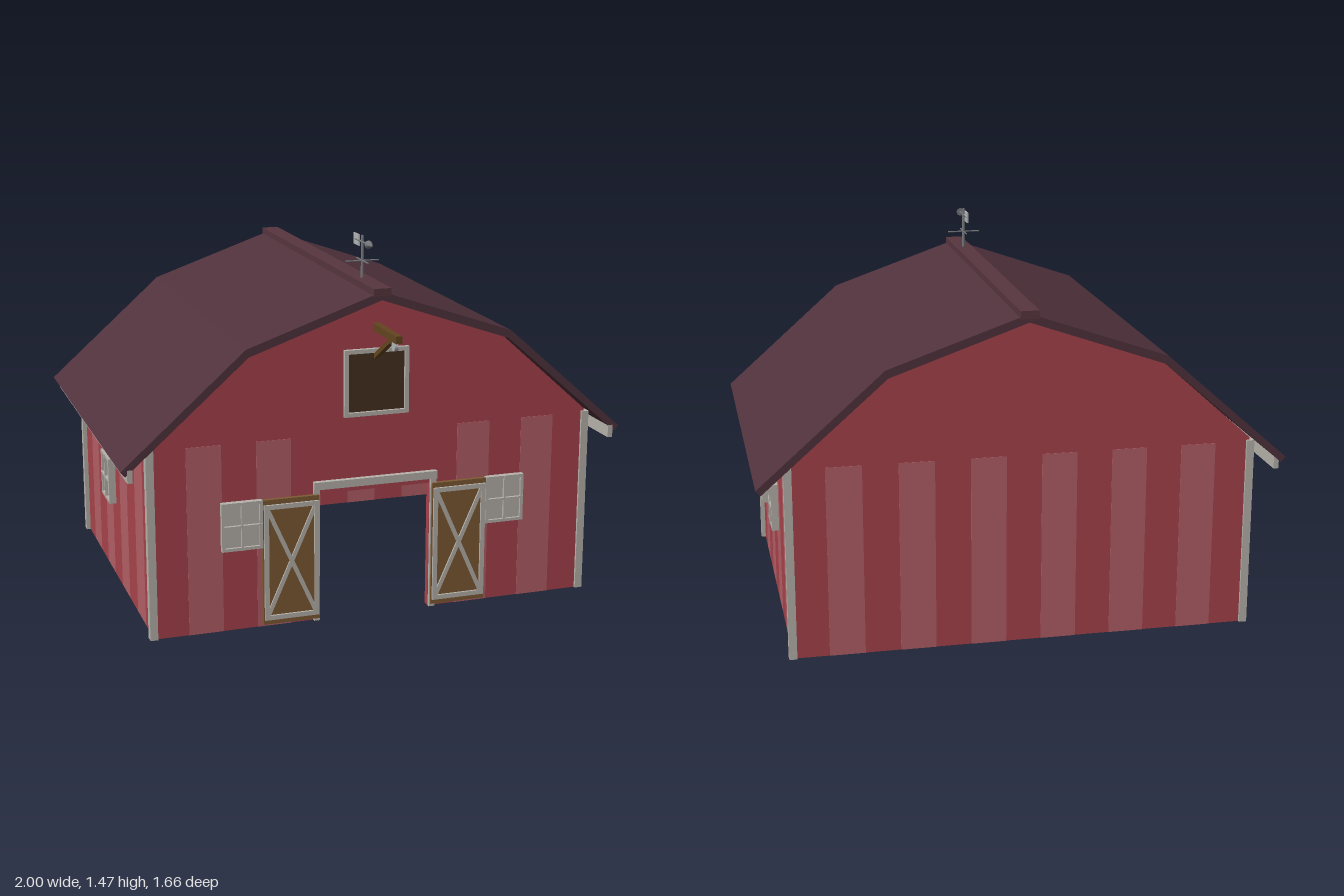
import * as THREE from 'three';

const mat = (color) => new THREE.MeshStandardMaterial({ color });
const M = {
  red: mat(0xa8434b), pale: mat(0xb46068), trim: mat(0xb8b3ac), roof: mat(0x50323c),
  ridge: mat(0x58363f), wood: mat(0x7e5a33), beam: mat(0x64451f), dark: mat(0x46301e),
  metal: mat(0x75787c), plate: mat(0xb4b6b8),
};
const W = 0.8775, FRONT = 0.585, BACK = -0.755, T = 0.03; // wall half width, ends, thickness

export function createModel() {
  const barn = new THREE.Group();
  barn.name = 'barn';

  const add = (name, geo, material, x = 0, y = 0, z = 0, parent = barn) => {
    const m = new THREE.Mesh(geo, material);
    m.name = name;
    m.position.set(x, y, z);
    parent.add(m);
    return m;
  };
  // Box given by its min and max on each axis
  const box = (name, material, x0, x1, y0, y1, z0, z1, parent = barn) =>
    add(name, new THREE.BoxGeometry(x1 - x0, y1 - y0, z1 - z0), material,
      (x0 + x1) / 2, (y0 + y1) / 2, (z0 + z1) / 2, parent);
  const group = (name, x = 0, y = 0, z = 0) => {
    const g = new THREE.Group();
    g.name = name;
    g.position.set(x, y, z);
    barn.add(g);
    return g;
  };
  const shapeOf = (pts) => new THREE.Shape(pts.map(([x, y]) => new THREE.Vector2(x, y)));
  const extrude = (pts, depth) =>
    new THREE.ExtrudeGeometry(shapeOf(pts), { depth, bevelEnabled: false });

  // End walls with the gambrel outline; the front one has a doorway
  const gable = [[W, 0.755], [0.515, 1.08], [0, 1.262], [-0.515, 1.08], [-W, 0.755]];
  const doorway = [[-W, 0], [-0.225, 0], [-0.225, 0.51], [0.225, 0.51], [0.225, 0], [W, 0]];
  add('frontWall', extrude([...doorway, ...gable], T), M.red, 0, 0, FRONT - T);
  add('backWall', extrude([[-W, 0], [W, 0], ...gable], T), M.red, 0, 0, BACK);

  // Pale planks on the end walls, showing on both faces
  const pw = (2 * W) / 13;
  for (let i = 1; i < 13; i += 2) {
    const x = -W + i * pw;
    box('backPlank', M.pale, x, x + pw, 0, 0.74, BACK - 0.002, BACK + T + 0.002);
    if (i !== 5 && i !== 7)
      box('frontPlank', M.pale, x, x + pw, 0, 0.74, FRONT - T - 0.002, FRONT + 0.002);
  }

  // Side walls of alternating planks
  const pd = (FRONT - BACK) / 9;
  for (const s of [-1, 1]) {
    for (let i = 0; i < 9; i++) {
      const x = s * (W - T / 2), z = FRONT - i * pd;
      const inset0 = i === 0 ? T : 0, inset1 = i === 8 ? T : 0;
      box('sidePlank', i % 2 ? M.pale : M.red, x - T / 2, x + T / 2, 0, 0.752,
        z - pd + inset1, z - inset0);
    }
    // Corner boards
    for (const [z0, z1] of [[0.56, 0.595], [-0.765, -0.73]]) {
      const x = s * 0.88;
      box('cornerBoard', M.trim, x - 0.015, x + 0.015, 0, 0.745, z0, z1);
    }
    // Eave board under the roof edge
    box('eaveBoard', M.trim, s * 0.965 - 0.01, s * 0.965 + 0.01, 0.645, 0.695, -0.82, 0.65);
  }

  // Roof shell and ridge cap
  const outer = [[1, 0.69], [0.525, 1.11], [0, 1.292]];
  const inner = [[0, 1.26], [0.515, 1.08], [0.982, 0.67]];
  const flip = (pts) => pts.map(([x, y]) => [-x, y]).reverse();
  add('roof', extrude([...outer, ...flip(outer).slice(1),
    ...flip(inner), ...inner.slice(1)], 1.472), M.roof, 0, 0, -0.822);
  box('ridgeCap', M.ridge, -0.035, 0.035, 1.275, 1.305, -0.83, 0.655);

  // Doorway trim
  box('doorHeader', M.trim, -0.25, 0.25, 0.532, 0.562, FRONT, 0.607);
  for (const s of [-1, 1])
    box('doorJamb', M.trim, s * 0.238 - 0.012, s * 0.238 + 0.012, 0, 0.532, FRONT - T, 0.598);

  // Sliding doors with cross bracing
  for (const s of [-1, 1]) {
    const door = group('slidingDoor', s * 0.3425, 0.263, 0.598);
    const w = 0.1125, h = 0.25, z0 = 0.006, z1 = 0.017;
    box('doorPanel', M.wood, -w, w, -h, h, -0.01, 0.008, door);
    for (const d of [-1, 1]) {
      const x = d * (w - 0.013), y = d * 0.222;
      box('doorStile', M.trim, x - 0.009, x + 0.009, -0.231, 0.231, z0, z1, door);
      box('doorRail', M.trim, -w + 0.004, w - 0.004, y - 0.009, y + 0.009, z0, z1, door);
      const brace = box('doorBrace', M.trim, -0.24, 0.24, -0.008, 0.008, z0, z1 - 0.002, door);
      brace.rotation.z = d * Math.atan2(0.44, 0.195);
    }
  }

  // Windows, built facing +z
  const addWindow = (x, y, z, turn) => {
    const win = group('window', x, y, z);
    win.rotation.y = turn;
    const w = 0.08, h = 0.095;
    box('windowPane', M.trim, -w, w, -h, h, -0.005, 0.014, win);
    for (const d of [-1, 1]) {
      const a = d * (w - 0.006), b = d * (h - 0.006);
      box('windowStile', M.trim, a - 0.006, a + 0.006, -h, h, 0.01, 0.024, win);
      box('windowRail', M.trim, -w, w, b - 0.006, b + 0.006, 0.01, 0.024, win);
    }
    box('windowMuntin', M.trim, -0.004, 0.004, -h, h, 0.01, 0.026, win);
    box('windowMuntin', M.trim, -w, w, -0.004, 0.004, 0.01, 0.026, win);
  };
  for (const s of [-1, 1]) {
    addWindow(s * 0.535, 0.42, FRONT, 0);
    addWindow(s * 0.882, 0.42, -0.172, s * Math.PI / 2);
  }

  // Hayloft hatch
  box('loftHatch', M.dark, -0.12, 0.12, 0.81, 1.06, FRONT - 0.01, 0.59);
  for (const d of [-1, 1]) {
    box('loftStile', M.trim, d * 0.121 - 0.008, d * 0.121 + 0.008, 0.806, 1.066, FRONT, 0.602);
    const y = 0.936 + d * 0.122;
    box('loftRail', M.trim, -0.129, 0.129, y - 0.008, y + 0.008, FRONT, 0.602);
  }

  // Hoist beam, brace and pulley
  box('hoistBeam', M.beam, -0.013, 0.013, 1.134, 1.162, 0.57, 0.832);
  const brace = box('hoistBrace', M.beam, -0.009, 0.009, 1.072, 1.09, 0.575, 0.765);
  brace.rotation.x = -Math.atan2(0.095, 0.165);
  add('pulley', new THREE.CylinderGeometry(0.018, 0.018, 0.014, 16).rotateZ(Math.PI / 2),
    M.plate, 0, 1.116, 0.79);

  // Weathervane
  const vane = group('weathervane', 0, 1.3, 0.425);
  const rod = (name, r, len) => add(name, new THREE.CylinderGeometry(r, r, len, 8), M.metal, 0, 0, 0, vane);
  rod('vanePole', 0.006, 0.17).position.y = 0.083;
  for (const axis of ['x', 'z']) {
    const bar = rod('vaneCrossbar', 0.003, 0.134);
    bar.rotation[axis] = Math.PI / 2;
    bar.position.y = 0.07;
  }
  const shaft = rod('vaneArrowShaft', 0.004, 0.16);
  shaft.rotation.x = Math.PI / 2;
  shaft.position.y = 0.142;
  add('vaneArrowHead', new THREE.ConeGeometry(0.017, 0.045, 8).rotateX(Math.PI / 2),
    M.metal, 0, 0.142, 0.093, vane);
  box('vaneTail', M.plate, -0.003, 0.003, 0.121, 0.164, -0.095, -0.034, vane);

  return barn;
}
